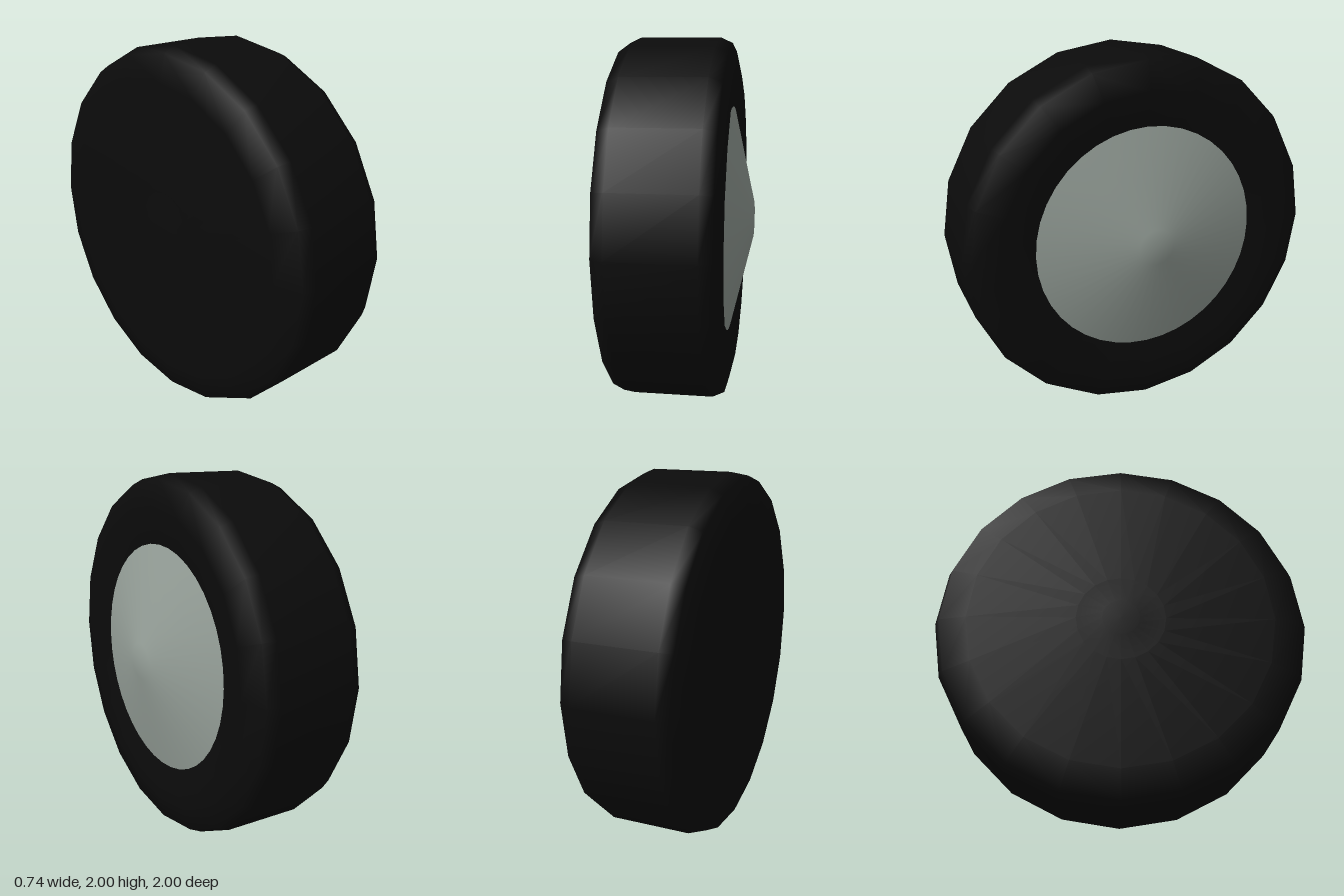
import * as THREE from 'three';

// Revolves [radius, x] points around the x axle; x must ascend.
function revolve(name, profile, sides, material) {
  const points = profile.map(([r, x]) => new THREE.Vector2(r, x));
  const geometry = new THREE.LatheGeometry(points, sides);
  geometry.rotateZ(-Math.PI / 2);
  const mesh = new THREE.Mesh(geometry, material);
  mesh.name = name;
  mesh.position.y = 1;
  return mesh;
}

export function createModel() {
  const rubber = new THREE.MeshStandardMaterial({ color: 0x0b0b0b });
  rubber.name = 'black rubber';
  const metal = new THREE.MeshStandardMaterial({ color: 0x98a29b });
  metal.name = 'pale grey metal';

  const wheel = new THREE.Group();
  wheel.name = 'wheel';

  // Tyre with a closed inner side and a slightly dished outer sidewall
  wheel.add(revolve('tyre', [
    [0, -0.37], [0.1, -0.37], [0.24, -0.36], [0.82, -0.36],
    [0.97, -0.325], [1, -0.26], [1, 0.175], [0.97, 0.24],
    [0.82, 0.275], [0.6, 0.235],
  ], 20, rubber));

  // Shallow conical hubcap with a small blunt tip
  wheel.add(revolve('hubcap', [
    [0.63, 0.245], [0.1, 0.37], [0, 0.37],
  ], 40, metal));

  return wheel;
}
